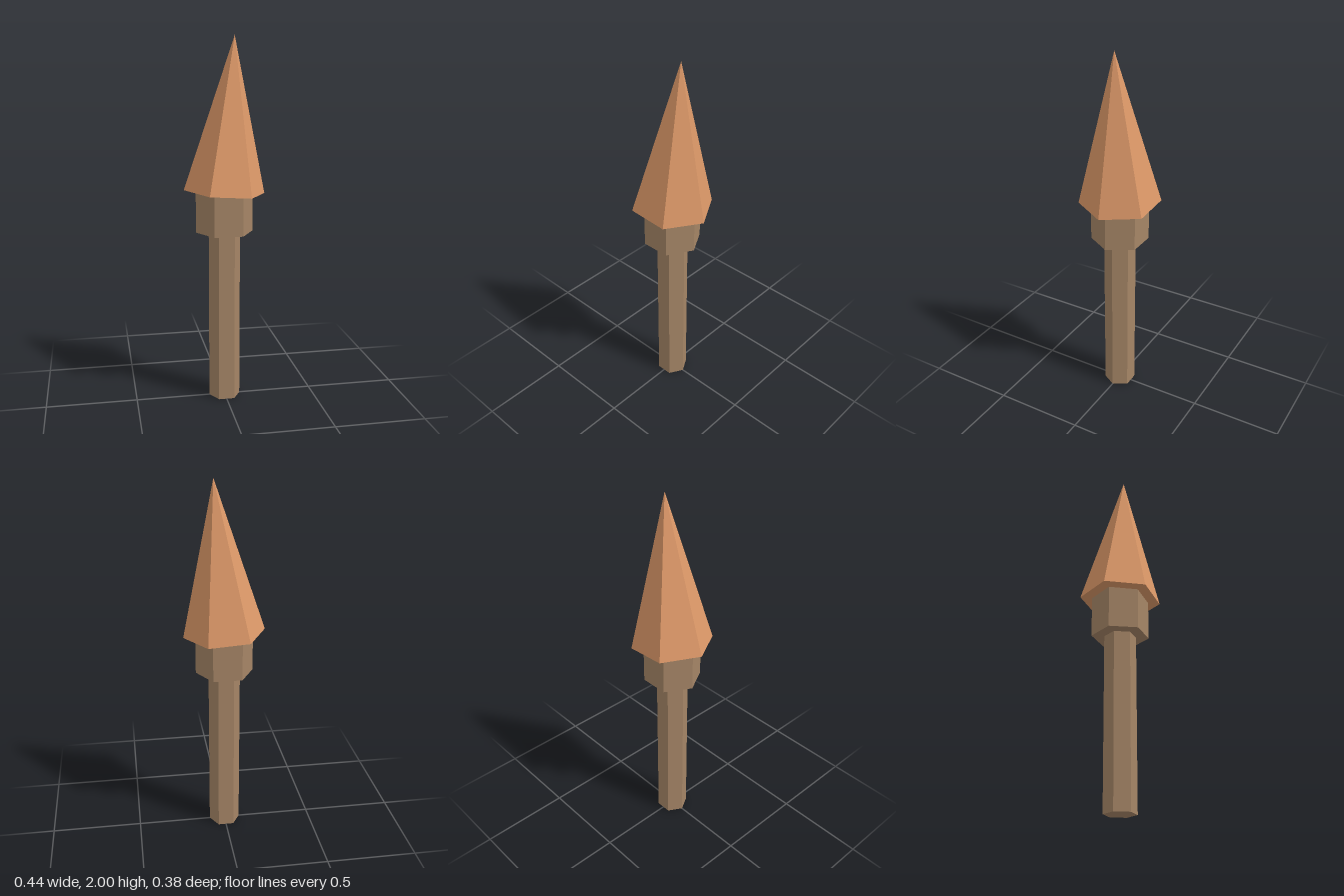
import * as THREE from 'three';

export function createModel() {
  const model = new THREE.Group();
  model.name = 'spear';

  const wood = new THREE.MeshStandardMaterial({ color: 0xa58566 });
  wood.name = 'dull brown';
  const copper = new THREE.MeshStandardMaterial({ color: 0xdc9868 });
  copper.name = 'copper orange';
  wood.flatShading = copper.flatShading = true;

  // Six-sided prism or cone with corners on the x axis, from y = 0 up
  const hex = (name, topRadius, bottomRadius, height, material) => {
    const geometry = new THREE.CylinderGeometry(topRadius, bottomRadius, height, 6);
    geometry.rotateY(Math.PI / 2).translate(0, height / 2, 0);
    const mesh = new THREE.Mesh(geometry, material);
    mesh.name = name;
    model.add(mesh);
    return mesh;
  };

  hex('shaft', 0.087, 0.087, 0.96, wood);

  // Collar reaches slightly into the tip
  hex('collar', 0.157, 0.157, 0.235, wood).position.y = 0.955;

  // Pointed tip, leaning a little to the left
  const tip = hex('tip', 0, 0.222, 0.825, copper);
  tip.position.y = 1.177;
  tip.rotation.z = -0.066;

  return model;
}
